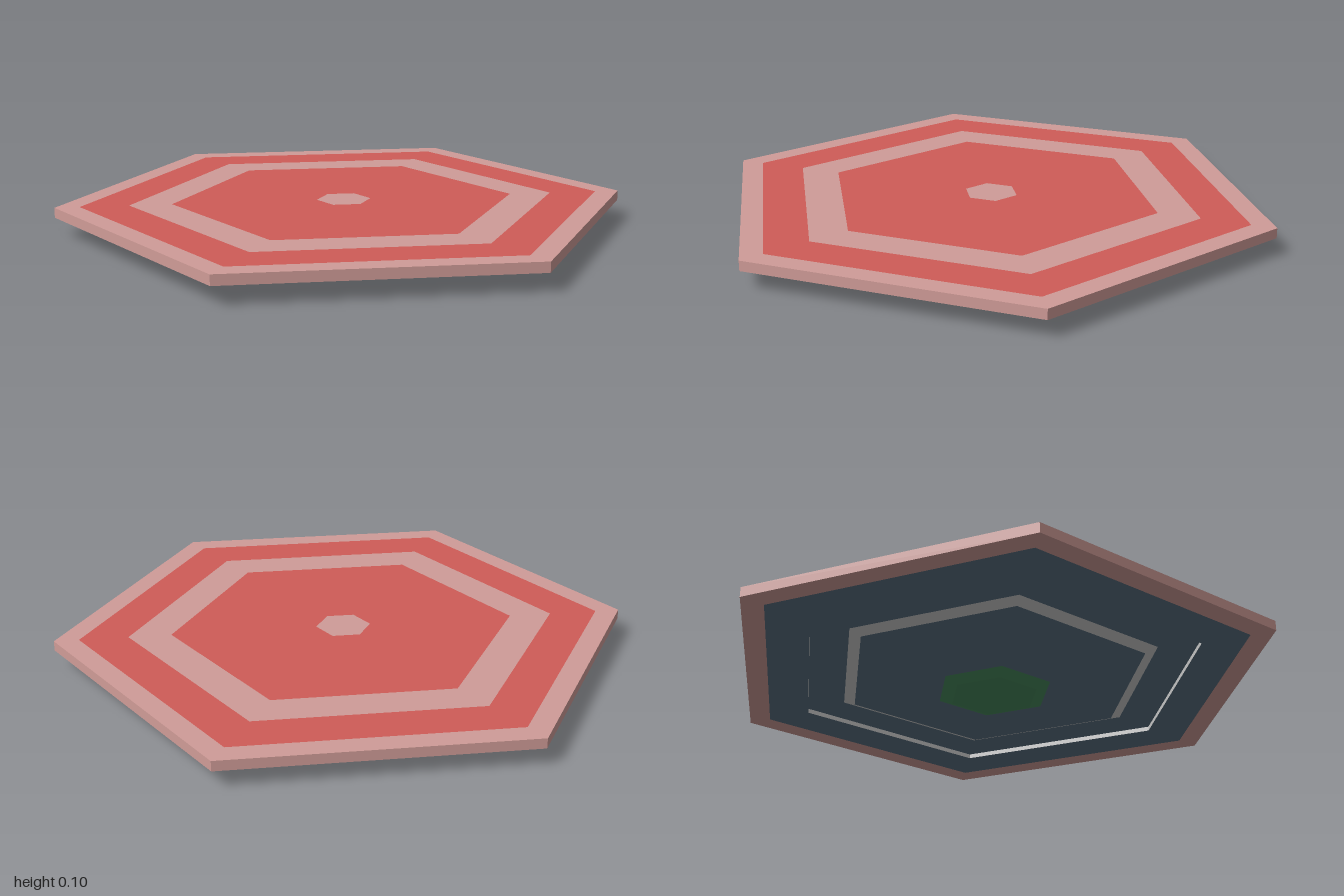
import * as THREE from 'three';

const material = (color) => new THREE.MeshStandardMaterial({ color, flatShading: true });

const rim = material(0xd09c98);
const red = material(0xd05c58);
const blue = material(0x5b7182);
const green = material(0x478a5c);
const grey = material(0xcccccc);

// Six-sided skin swept from [radius, height] points, with corners on the x axis.
// Points run outwards below, up the sides and inwards on top.
function hexBand(name, mat, ...points) {
  const profile = points.map(([r, y]) => new THREE.Vector2(r, y));
  const geometry = new THREE.LatheGeometry(profile, 6, Math.PI / 2).toNonIndexed();
  geometry.computeVertexNormals();
  const mesh = new THREE.Mesh(geometry, mat);
  mesh.name = name;
  return mesh;
}

function part(name, ...meshes) {
  const group = new THREE.Group();
  group.name = name;
  group.add(...meshes);
  return group;
}

export function createModel() {
  const top = 0.099, under = 0.064, groove = 0.08, hub = 0.019;

  const model = new THREE.Group();
  model.name = 'hexagonalPlate';

  // Rim wrapping from the underside, up the edge and onto the top
  model.add(hexBand('rim', rim, [0.915, under], [1, under], [1, top], [0.915, top]));

  // Flat concentric bands on top
  model.add(part('topFace',
    hexBand('outerRedBand', red, [0.915, top], [0.747, top]),
    hexBand('paleBand', rim, [0.747, top], [0.6, top]),
    hexBand('innerRedField', red, [0.6, top], [0.095, top]),
    hexBand('centreMark', rim, [0.095, top], [0, top])));

  // Underside panel with a recessed channel
  model.add(part('underside',
    hexBand('outerPanel', blue, [0.75, under], [0.915, under]),
    hexBand('channelOuterWall', grey, [0.75, groove], [0.75, under]),
    hexBand('channelFloor', blue, [0.6, groove], [0.75, groove]),
    hexBand('channelInnerBevel', grey, [0.555, under], [0.6, groove])));

  // Shallow pyramid below, ending in a bevelled hub
  model.add(part('belly',
    hexBand('slope', blue, [0.21, hub], [0.555, under]),
    hexBand('hub', green, [0, 0], [0.16, 0], [0.21, hub])));

  return model;
}
